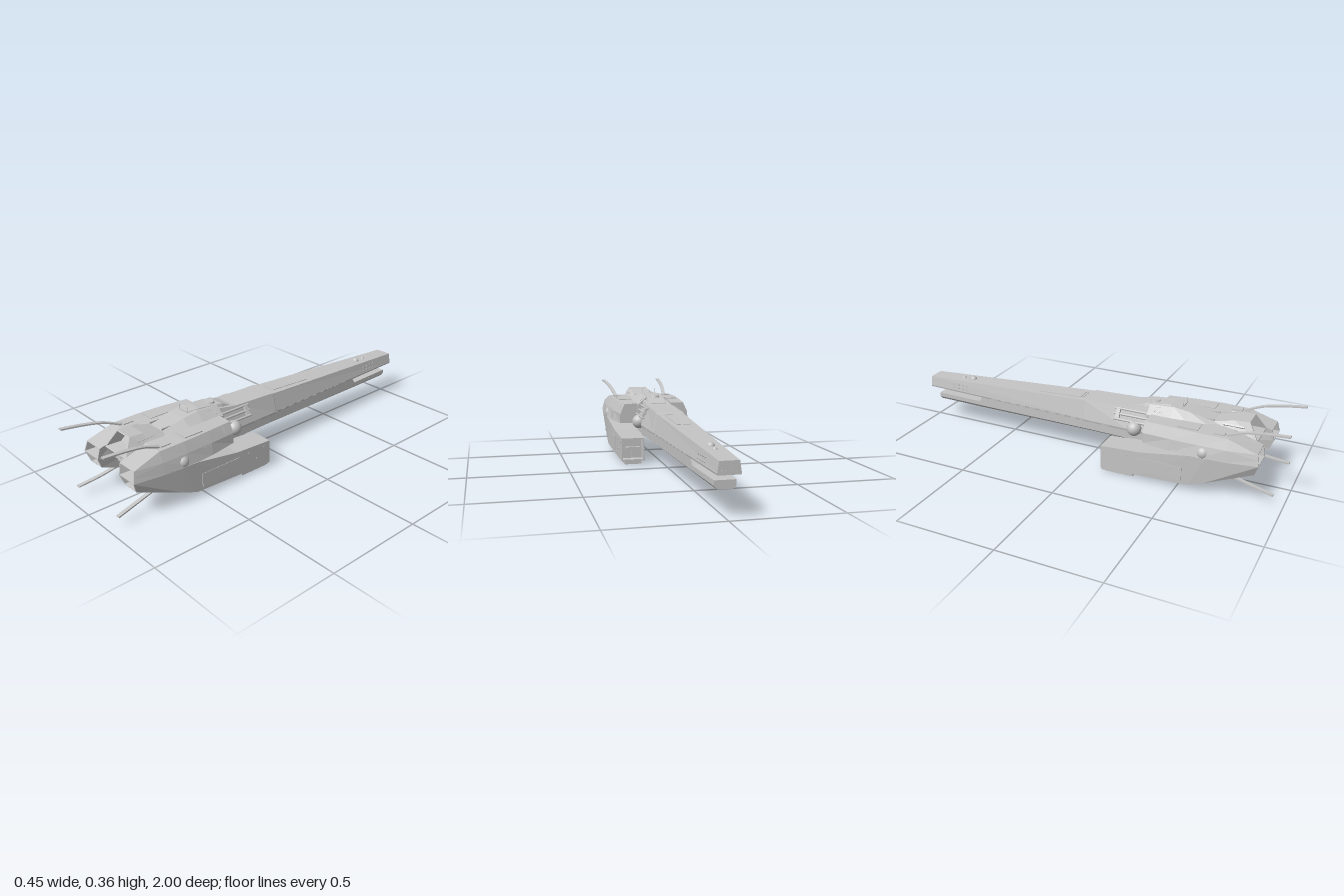
import * as THREE from 'three';

const hullGrey = new THREE.MeshStandardMaterial({ color: 0xc4c4c4 });
hullGrey.name = 'hull grey';

// Flat-shaded geometry from polygons given as loops of [x, y, z]
function polys(list) {
  const v = [];
  for (const p of list)
    for (let i = 1; i < p.length - 1; i++) v.push(...p[0], ...p[i], ...p[i + 1]);
  const g = new THREE.BufferGeometry();
  g.setAttribute('position', new THREE.Float32BufferAttribute(v, 3));
  g.computeVertexNormals();
  return g;
}

// Skin over cross-sections ordered back to front, each counter-clockwise from +z
function loft(sections, capBack = true, capFront = true) {
  const faces = [];
  for (let s = 0; s < sections.length - 1; s++) {
    const a = sections[s], b = sections[s + 1], n = a.length;
    for (let i = 0; i < n; i++) faces.push([a[i], a[(i + 1) % n], b[(i + 1) % n], b[i]]);
  }
  if (capBack) faces.push([...sections[0]].reverse());
  if (capFront) faces.push(sections[sections.length - 1]);
  return polys(faces);
}

// Framed hollow: rim, sloping walls and a sunken floor
function recess(corners, depth, rim = 0.1, floor = 0.35) {
  const c = [0, 1, 2].map(k => corners.reduce((s, p) => s + p[k], 0) / corners.length);
  const toward = (t, dz) => corners.map(p => p.map((q, k) => q + (c[k] - q) * t + (k === 2 ? dz : 0)));
  const inner = toward(rim, 0), deep = toward(floor, depth), faces = [deep];
  corners.forEach((p, i) => {
    const j = (i + 1) % corners.length;
    faces.push([p, corners[j], inner[j], inner[i]], [inner[i], inner[j], deep[j], deep[i]]);
  });
  return polys(faces);
}

// Mirror across x = 0, keeping faces outward
function mirrored(geo) {
  const g = geo.index ? geo.toNonIndexed() : geo.clone();
  for (const key of ['position', 'normal']) {
    const a = g.attributes[key].array;
    for (let i = 0; i < a.length; i += 9)
      for (let k = 0; k < 3; k++) {
        const s = k === 0 ? -1 : 1, t = a[i + 3 + k];
        a[i + k] *= s;
        a[i + 3 + k] = a[i + 6 + k] * s;
        a[i + 6 + k] = t * s;
      }
  }
  return g;
}

// Symmetric section from its +x half, listed bottom to top
const sym = (z, half) => {
  const r = half.map(([x, y, pz = z]) => [x, y, pz]);
  return [...r, ...[...r].reverse().map(([x, y, pz]) => [-x, y, pz])];
};
const at = (z, pts) => pts.map(([x, y]) => [x, y, z]);
const box = (x, y, z, w, h, d, rx = 0, rz = 0) =>
  new THREE.BoxGeometry(w, h, d).rotateX(rx).rotateZ(rz).translate(x, y, z);
const ball = (x, y, z, r) => new THREE.SphereGeometry(r, 20, 14).translate(x, y, z);

export function createModel() {
  const model = new THREE.Group();
  model.name = 'spacecraft';
  const add = (name, geo) => {
    const m = new THREE.Mesh(geo, hullGrey);
    m.name = name;
    model.add(m);
  };
  const pair = (name, geo) => { add(name + 'Left', geo); add(name + 'Right', mirrored(geo)); };
  const width = z => 0.05 + 0.04 * (z + 1);          // half-width of the long boom
  const roof = z => 0.24 + 0.05 * (z + 1);           // its top line

  // Long tapering boom, split into two prongs at the tail
  add('upperBoom', loft([
    sym(-1, [[0.048, 0.183], [0.05, 0.19], [0.042, 0.24]]),
    sym(-0.05, [[0.086, 0.185], [0.088, 0.195], [0.068, 0.287]]),
    sym(-0.045, [[0.09, 0.185], [0.092, 0.195], [0.07, 0.291]]),
    sym(0.2, [[0.096, 0.185], [0.098, 0.195], [0.066, 0.3]]),
    sym(0.36, [[0.098, 0.185], [0.1, 0.195], [0.06, 0.325]]),
  ]));
  add('lowerBoom', loft([
    sym(-0.95, [[0.032, 0.115], [0.046, 0.13], [0.046, 0.153]]),
    sym(-0.68, [[0.038, 0.115], [0.06, 0.135], [0.06, 0.157]]),
    sym(-0.66, [[0.038, 0.115], [0.061, 0.135], [0.061, 0.187]]),
    sym(0, [[0.05, 0.12], [0.088, 0.145], [0.088, 0.187]]),
    sym(0.36, [[0.05, 0.113], [0.092, 0.14], [0.092, 0.187]]),
  ]));
  add('keelStrip', box(0, 0.117, -0.1, 0.04, 0.008, 0.9));

  // Central forward body
  const nose = [[0.06, 0.125, 0.73], [0.085, 0.2, 0.81], [0.085, 0.253, 0.84], [0.05, 0.333, 0.79]];
  add('forwardBody', loft([
    sym(0.3, [[0.05, 0.112], [0.09, 0.14], [0.095, 0.29], [0.05, 0.328]]),
    sym(0.42, [[0.05, 0.112], [0.09, 0.14], [0.095, 0.295], [0.05, 0.336]]),
    sym(0.5, [[0.05, 0.113], [0.09, 0.14], [0.095, 0.295], [0.05, 0.326]]),
    sym(0.62, [[0.05, 0.117], [0.09, 0.15], [0.095, 0.29], [0.05, 0.303]]),
    sym(0.72, [[0.06, 0.125], [0.09, 0.16], [0.09, 0.285], [0.05, 0.328]]),
    sym(0, nose),
  ], true, false));
  const flip = ([x, y, z]) => [-x, y, z];
  const band = (i, j) => [flip(nose[i]), nose[i], nose[j], flip(nose[j])];
  add('canopyHollow', recess(band(2, 3), -0.06, 0.13, 0.36));
  add('nosePanel', recess(band(1, 2), -0.02, 0.08, 0.14));
  add('chinPanel', recess(band(0, 1), -0.015, 0.12, 0.2));

  // Chevron and brackets on the nose panel
  pair('noseChevron', box(0.014, 0.231, 0.812, 0.036, 0.006, 0.014, 0, 0.7));
  pair('noseBracketTop', box(0.05, 0.24, 0.814, 0.03, 0.005, 0.014));
  pair('noseBracketSide', box(0.035, 0.226, 0.811, 0.005, 0.028, 0.014));
  add('noseBracketBase', box(0, 0.212, 0.805, 0.07, 0.005, 0.014));
  for (const y of [0.185, 0.168, 0.15])
    add('chinSlat', box(0, y, 0.775 - (0.168 - y) * 1.1, 0.09, 0.005, 0.016));
  pair('chinRail', box(0.058, 0.165, 0.775, 0.005, 0.006, 0.075, -0.75));

  // Upper shoulder pods with their front intakes
  const mid = [[0.085, 0.197, 0.88], [0.2, 0.197, 0.88]];
  const top = [[0.188, 0.25, 0.868], [0.08, 0.25, 0.868]];
  pair('shoulderPod', loft([
    at(0.32, [[0.06, 0.185], [0.19, 0.19], [0.188, 0.24], [0.165, 0.292], [0.06, 0.296]]),
    at(0.46, [[0.06, 0.18], [0.21, 0.187], [0.2, 0.243], [0.178, 0.295], [0.06, 0.298]]),
    at(0.6, [[0.06, 0.18], [0.22, 0.187], [0.205, 0.245], [0.185, 0.296], [0.06, 0.298]]),
    at(0.73, [[0.07, 0.18], [0.213, 0.19], [0.203, 0.245], [0.183, 0.294], [0.075, 0.296]]),
    [...mid, [0.194, 0.2235, 0.874], ...top],
  ], true, false));
  pair('upperIntake', recess([...mid, ...top], -0.05, 0.1, 0.32));

  // Lower pods reaching back under the boom
  const low = [[0.092, 0.146, 0.86], [0.183, 0.143, 0.86]];
  const rear = at(0.115, [[0.096, 0.02], [0.218, 0.02], [0.218, 0.14], [0.1, 0.14]]);
  pair('lowerPod', loft([
    rear,
    at(0.32, [[0.095, 0.026], [0.218, 0.026], [0.218, 0.15], [0.085, 0.15]]),
    at(0.56, [[0.093, 0.034], [0.216, 0.034], [0.22, 0.189], [0.085, 0.189]]),
    at(0.64, [[0.09, 0.062], [0.212, 0.062], [0.219, 0.19], [0.085, 0.19]]),
    [...low, mid[1], mid[0]],
  ], false, false));
  pair('lowerIntake', recess([...low, mid[1], mid[0]], -0.05, 0.1, 0.32));
  pair('rearThruster', recess([...rear].reverse(), 0.03, 0.1, 0.18));
  pair('thrusterBar', box(0.158, 0.085, 0.137, 0.075, 0.012, 0.02));
  pair('thrusterPipe', box(0.158, 0.06, 0.138, 0.012, 0.05, 0.016));
  pair('landingSkid', box(0.158, 0.0155, 0.198, 0.089, 0.025, 0.165));
  pair('skidPlate', box(0.158, 0.002, 0.198, 0.084, 0.004, 0.13));

  // Curved flat antennae sweeping forward
  const blade = (pts) => loft(new THREE.CatmullRomCurve3(pts.map(p => new THREE.Vector3(...p)))
    .getPoints(14).map(({ x, y, z }) => at(z,
      [[x - 0.01, y - 0.004], [x + 0.01, y - 0.004], [x + 0.01, y + 0.003], [x - 0.01, y + 0.003]])));
  pair('upperAntenna', blade([[0.144, 0.275, 0.67], [0.148, 0.303, 0.73],
    [0.156, 0.33, 0.8], [0.165, 0.348, 0.9], [0.172, 0.359, 1]]));
  pair('lowerAntenna', blade([[0.138, 0.115, 0.65], [0.144, 0.093, 0.75],
    [0.152, 0.07, 0.85], [0.165, 0.052, 0.95]]));
  pair('antennaMount', box(0.145, 0.293, 0.68, 0.036, 0.014, 0.05));
  pair('mast', new THREE.CylinderGeometry(0.0012, 0.0012, 0.04, 6).translate(0.033, 0.342, 0.46));

  // Sensor domes
  pair('shoulderDome', ball(0.192, 0.208, 0.62, 0.032));
  pair('boomDome', ball(0.1, 0.208, 0.24, 0.037));
  add('tailDome', ball(0, 0.25, -0.75, 0.018));
  add('smallTailDome', ball(0, 0.247, -0.81, 0.011));

  // Bridge deck and surrounding pipework
  add('bridgeDeck', loft([
    sym(0.22, [[0.05, 0.29], [0.042, 0.306]]),
    sym(0.27, [[0.056, 0.3], [0.046, 0.326]]),
    sym(0.4, [[0.05, 0.31], [0.036, 0.34]]),
    sym(0.46, [[0.034, 0.31], [0.026, 0.336]]),
  ]));
  add('bridgeCap', new THREE.CylinderGeometry(0.024, 0.028, 0.012, 16).translate(0, 0.332, 0.31));
  for (let i = 0; i < 3; i++) {
    pair('sidePipe', new THREE.CylinderGeometry(0.006, 0.006, 0.18, 8)
      .rotateX(Math.PI / 2).translate(0.076 + i * 0.012, 0.288 - i * 0.024, 0.22));
    pair('bridgeRib', box(0.064, 0.312, 0.33 + i * 0.035, 0.03, 0.012, 0.012, 0, -0.7));
  }
  pair('pipeClamp', box(0.09, 0.268, 0.15, 0.045, 0.012, 0.02, 0, -1.1));
  pair('spineFin', box(0.045, 0.306, 0.57, 0.008, 0.014, 0.1));
  pair('canopyRail', box(0.068, 0.308, 0.72, 0.008, 0.012, 0.1, 0, -0.85));

  // Raised hull plates
  pair('shoulderPlate', box(0.177, 0.27, 0.4, 0.006, 0.036, 0.07, 0, 0.41));
  pair('shoulderTopPlate', box(0.13, 0.297, 0.53, 0.07, 0.006, 0.1));
  pair('shoulderSidePlate', box(0.204, 0.217, 0.5, 0.006, 0.04, 0.08, 0, 0.16));
  pair('podSidePlate', box(0.218, 0.085, 0.42, 0.006, 0.07, 0.22));
  add('boomTopPlate', box(0, roof(-0.2) - 0.001, -0.2, 0.07, 0.006, 0.24, -0.05));
  for (const z of [-0.07, -0.32])
    add('boomTopSeam', box(0, roof(z) - 0.001, z, 0.06, 0.005, 0.006));

  // Dashed seam along the boom sides
  for (let i = 0; i < 12; i++) {
    const z = -0.58 + i * 0.06;
    pair('seamDash', box(width(z) - 0.001, 0.19, z, 0.005, 0.006, 0.035));
  }

  // Rivets on the tail prongs and pod ends
  const rivet = (name, x, y, z) => pair(name, new THREE.CylinderGeometry(0.005, 0.005, 0.006, 8)
    .rotateZ(Math.PI / 2).translate(x, y, z));
  for (let i = 0; i < 4; i++)
    for (let j = 0; j < 2; j++) {
      const z = -0.76 - i * 0.028;
      rivet('tailRivet', width(z) - 0.003 - j * 0.003, 0.205 + j * 0.02, z);
    }
  for (const x of [0.012, 0.03])
    for (const y of [0.2, 0.222]) pair('tailVent', box(x, y, -0.999, 0.007, 0.007, 0.004));
  for (let i = 0; i < 5; i++) rivet('prongRivet', 0.055 - i * 0.001, 0.145, -0.7 - i * 0.028);
  for (const [y, z] of [[0.12, 0.15], [0.12, 0.25], [0.075, 0.2]]) rivet('podRivet', 0.218, y, z);
  return model;
}
